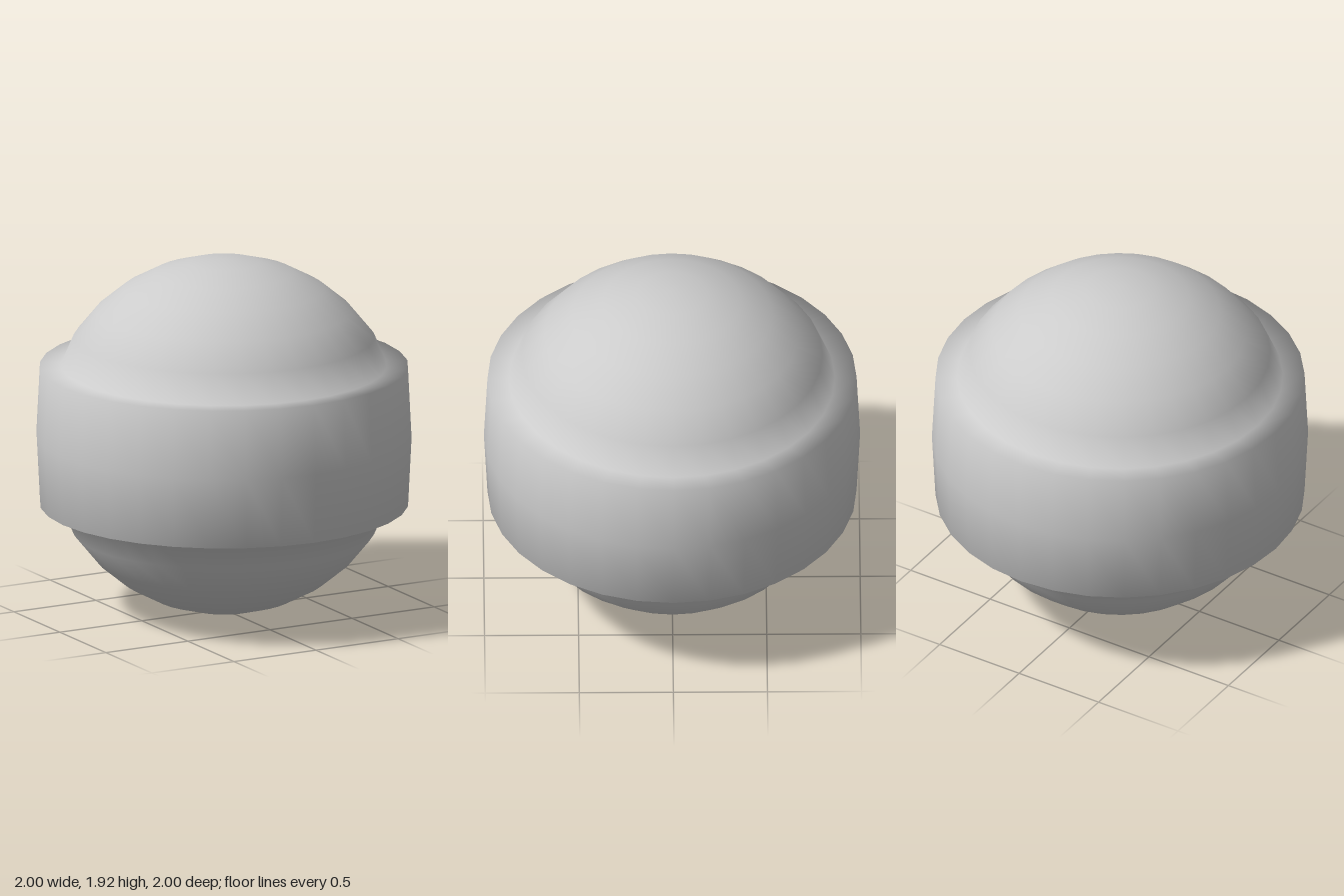
import * as THREE from 'three';

const RADIUS = 0.962; // ball radius, also the height of its centre
const SEGMENTS = 32;

export function createModel() {
  const group = new THREE.Group();
  group.name = 'bandedBall';

  // Lower half of the profile: ball cap in 11.25 degree steps, then the step out to the raised band
  const lower = [];
  for (let i = 0; i <= 5; i++) {
    const a = (i * Math.PI) / 16;
    lower.push([RADIUS * Math.sin(a), -RADIUS * Math.cos(a)]);
  }
  lower.push([0.867, -0.377], [0.981, -0.377]);

  // Mirror it about the equator
  const upper = lower.map(([r, y]) => [r, -y]).reverse();
  const profile = [...lower, [1, 0], ...upper].map(([r, y]) => new THREE.Vector2(r, y + RADIUS));
  const geometry = new THREE.LatheGeometry(profile, SEGMENTS);

  // Straight normals at both poles so the caps shade smoothly
  const normal = geometry.attributes.normal;
  const n = profile.length;
  for (let s = 0; s <= SEGMENTS; s++) {
    normal.setXYZ(s * n, 0, -1, 0);
    normal.setXYZ(s * n + n - 1, 0, 1, 0);
  }

  const ball = new THREE.Mesh(geometry, new THREE.MeshStandardMaterial({ color: 0xcccccc }));
  ball.name = 'ballWithRaisedBand';
  group.add(ball);
  return group;
}
